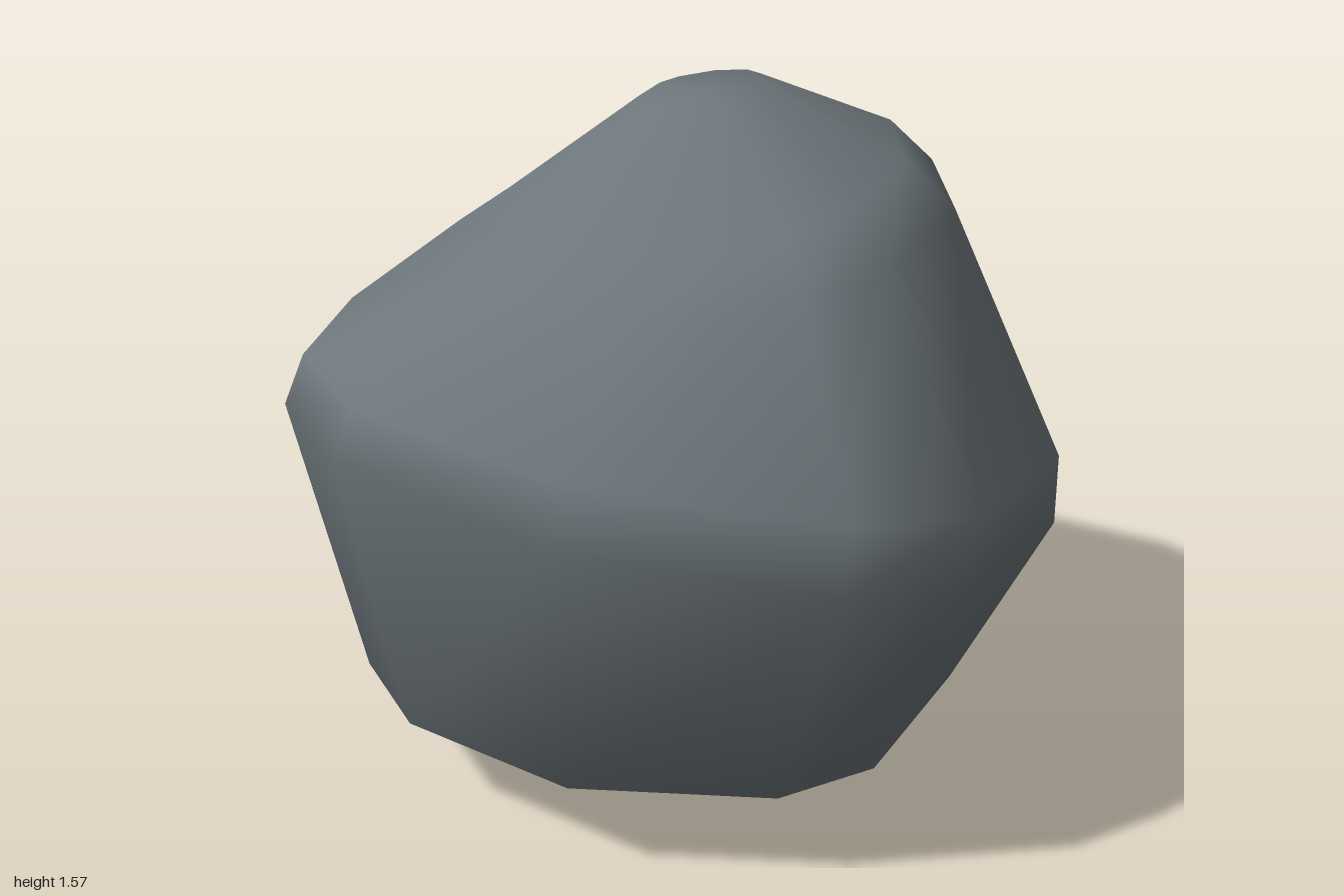
import * as THREE from 'three';

// Twelve-sided outline: one quadrant mirrored into the other three
const quadrant = [[1, 0.19], [0.7, 0.69], [0.17, 0.99]];
const flip = (pts, sx, sz) => pts.map(([x, z]) => [x * sx, z * sz]);
const outline = [
  ...quadrant,
  ...flip(quadrant, -1, 1).reverse(),
  ...flip(quadrant, -1, -1),
  ...flip(quadrant, 1, -1).reverse(),
];

// Cross-sections from the ground up; each one leans from yLeft (-x) to yRight (+x)
const rings = [
  { x: [-0.41, 0.27], z: [-0.32, 0.45], y: [0, 0] },          // base
  { x: [-0.77, 0.63], z: [-0.72, 0.84], y: [0.22, 0.22] },    // lower bevel
  { x: [-0.89, 0.88], z: [-1.0, 1.0], y: [0.87, 0.57] },      // belly
  { x: [-0.84, 0.89], z: [-0.98, 0.97], y: [0.98, 0.73] },    // ridge
  { x: [-0.55, 0.6], z: [-0.6, 0.7], y: [1.16, 1.35] },       // shoulder
  { x: [-0.42, 0.49], z: [-0.46, 0.57], y: [1.25, 1.45] },    // upper bevel
  { x: [-0.1, 0.18], z: [-0.1, 0.2], y: [1.51, 1.57] },       // crown
];

function boulderGeometry() {
  const n = outline.length;
  const mix = ([a, b], t) => a + (b - a) * (t + 1) / 2;
  const positions = [];
  const index = [];
  for (const r of rings) {
    for (const [u, v] of outline) positions.push(mix(r.x, u), mix(r.y, u), mix(r.z, v));
  }
  // Cap centres
  const bottom = rings.length * n;
  const top = bottom + 1;
  const last = (rings.length - 1) * n;
  for (const r of [rings[0], rings[rings.length - 1]]) {
    positions.push(mix(r.x, 0), mix(r.y, 0), mix(r.z, 0));
  }
  for (let i = 0; i < n; i++) {
    const j = (i + 1) % n;
    for (let k = 0; k < last; k += n) {
      index.push(k + i, k + n + i, k + j, k + j, k + n + i, k + n + j);
    }
    index.push(bottom, i, j, top, last + j, last + i);
  }
  const g = new THREE.BufferGeometry();
  g.setAttribute('position', new THREE.Float32BufferAttribute(positions, 3));
  g.setIndex(index);
  g.computeVertexNormals();
  return g;
}

export function createModel() {
  const stone = new THREE.MeshStandardMaterial({ color: 0x6c757a });
  stone.name = 'stone grey';
  const boulder = new THREE.Mesh(boulderGeometry(), stone);
  boulder.name = 'boulder';
  const group = new THREE.Group();
  group.name = 'rock';
  group.add(boulder);
  return group;
}
